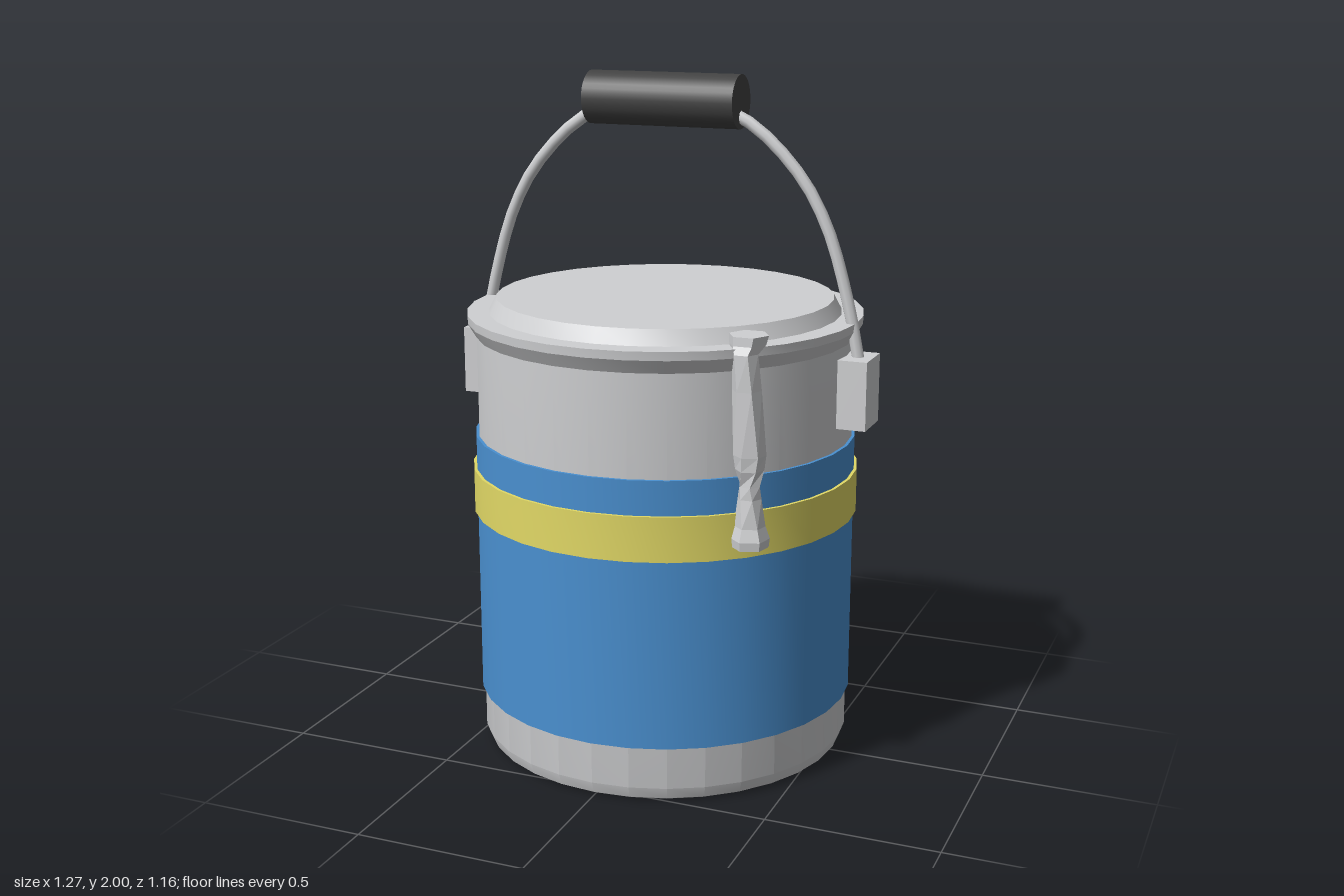
import * as THREE from 'three';
import { toCreasedNormals } from 'three/addons/utils/BufferGeometryUtils.js';

const SIDES = 32;

const material = (name, color, extra = {}) =>
  Object.assign(new THREE.MeshStandardMaterial({ color, ...extra }), { name });

function mesh(name, geometry, mat) {
  const m = new THREE.Mesh(geometry, mat);
  m.name = name;
  return m;
}

// Round part turned about y, with sharp profile corners kept crisp
function lathe(profile) {
  const points = profile.map(([r, y]) => new THREE.Vector2(r, y));
  return toCreasedNormals(new THREE.LatheGeometry(points, SIDES), 0.4);
}

// Thin sleeve around the can
const band = (inner, outer, y0, y1) =>
  lathe([[inner, y0], [outer, y0], [outer, y1], [inner, y1]]);

// Six-sided strand through rings of [y, x, z, radius, twist]
function strand(rings) {
  const n = rings.length - 1;
  const g = new THREE.CylinderGeometry(1, 1, 1, 6, n);
  const p = g.attributes.position;
  for (let i = 0; i < p.count; i++) {
    const [y, x, z, r, twist] = rings[Math.round((0.5 - p.getY(i)) * n)];
    const c = Math.cos(twist), s = Math.sin(twist);
    const px = p.getX(i) * r, pz = p.getZ(i) * r;
    p.setXYZ(i, x + px * c - pz * s, y, z + px * s + pz * c);
  }
  const flat = g.toNonIndexed();
  flat.computeVertexNormals();
  return flat;
}

export function createModel() {
  const metal = material('metal grey', 0xcfd0d2);
  const blue = material('label blue', 0x4a90d0);
  const yellow = material('stripe yellow', 0xe2d966);
  const dark = material('grip black', 0x424242);

  const can = new THREE.Group();
  can.name = 'paintCan';

  // Body with chamfered foot and flared rim
  can.add(mesh('body', lathe([
    [0, 0], [0.525, 0], [0.543, 0.01], [0.556, 0.045], [0.556, 1.25],
    [0.58, 1.29], [0.582, 1.315], [0.51, 1.315],
  ]), metal));

  // Raised lid
  can.add(mesh('lid', lathe([[0.52, 1.31], [0.495, 1.358], [0, 1.358]]), metal));

  // Label and its stripe
  can.add(mesh('label', band(0.55, 0.565, 0.17, 0.955), blue));
  can.add(mesh('labelStripe', band(0.56, 0.574, 0.725, 0.855), yellow));

  // Lugs that hold the handle
  for (const side of [-1, 1]) {
    const lug = mesh(side > 0 ? 'leftLug' : 'rightLug',
      new THREE.BoxGeometry(0.095, 0.2, 0.134), metal);
    lug.position.set(side * 0.5875, 1.12, 0);
    can.add(lug);
  }

  // Wire bail handle
  const half = [[0.597, 1.18], [0.557, 1.37], [0.487, 1.59], [0.395, 1.74], [0.23, 1.88]];
  const path = [
    ...half.map(([x, y]) => new THREE.Vector3(-x, y, 0)),
    new THREE.Vector3(0, 1.93, 0),
    ...half.slice().reverse().map(([x, y]) => new THREE.Vector3(x, y, 0)),
  ];
  can.add(mesh('handleWire',
    new THREE.TubeGeometry(new THREE.CatmullRomCurve3(path), 32, 0.018, 8), metal));

  // Grip
  const grip = mesh('grip', new THREE.CylinderGeometry(0.077, 0.077, 0.46, SIDES), dark);
  grip.rotation.z = Math.PI / 2;
  grip.position.y = 1.923;
  can.add(grip);

  // Paint drip running over the rim
  can.add(mesh('drip', strand([
    [1.347, 0.397, 0.385, 0.056, 0.5],
    [1.322, 0.395, 0.39, 0.052, 0.5],
    [1.3, 0.395, 0.412, 0.038, 0.5],
    [1.2, 0.402, 0.411, 0.041, 0.4],
    [1.02, 0.412, 0.41, 0.045, 0.2],
    [0.98, 0.413, 0.412, 0.04, 0.3],
    [0.935, 0.414, 0.414, 0.031, 0.7],
    [0.9, 0.414, 0.413, 0.034, 0.5],
    [0.82, 0.415, 0.412, 0.043, 0.2],
    [0.785, 0.415, 0.411, 0.055, 0.2],
    [0.76, 0.415, 0.411, 0.052, 0.2],
  ]), metal));

  return can;
}
